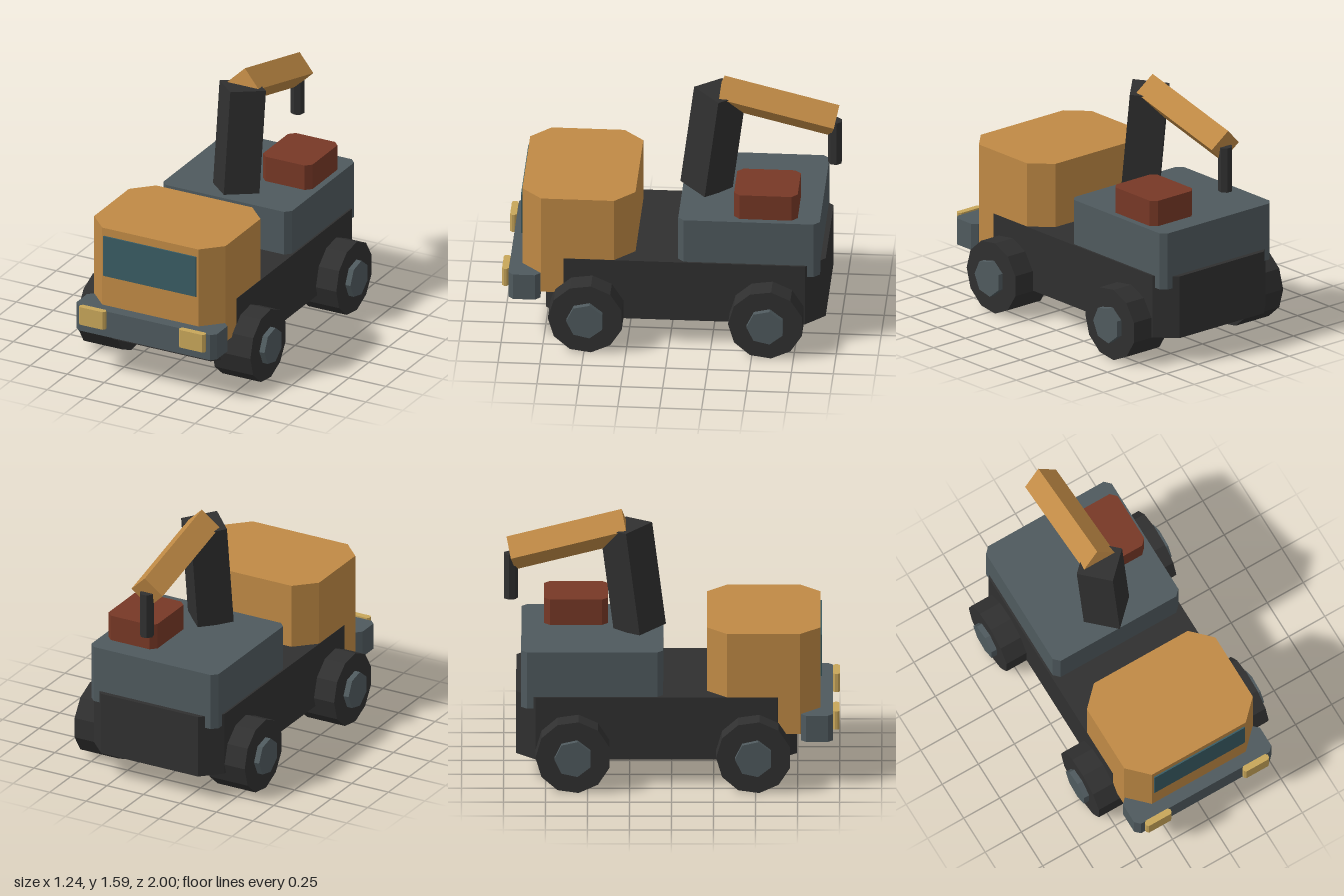
import * as THREE from 'three';

const paint = (name, color) => {
  const m = new THREE.MeshStandardMaterial({ color });
  m.name = name;
  return m;
};

// Faceted copy of a geometry: one normal per face
function faceted(geometry) {
  const g = geometry.index ? geometry.toNonIndexed() : geometry;
  g.computeVertexNormals();
  return g;
}

// Upright block with chamfered vertical edges, given by its x, y and z ranges
function block(name, material, [x0, x1], [y0, y1], [z0, z1], c) {
  const w = (x1 - x0) / 2, d = (z1 - z0) / 2;
  const outline = [[w, d - c], [w - c, d], [c - w, d], [-w, d - c], [-w, c - d], [c - w, -d], [w - c, -d], [w, c - d]];
  const shape = new THREE.Shape(outline.map(([x, y]) => new THREE.Vector2(x, y)));
  const g = new THREE.ExtrudeGeometry(shape, { depth: y1 - y0, bevelEnabled: false });
  g.rotateX(-Math.PI / 2);
  const mesh = new THREE.Mesh(faceted(g), material);
  mesh.name = name;
  mesh.position.set((x0 + x1) / 2, y0, (z0 + z1) / 2);
  return mesh;
}

// Few-sided bar between two points
function bar(name, material, from, to, radius, sides) {
  const a = new THREE.Vector3(...from), b = new THREE.Vector3(...to);
  const dir = b.clone().sub(a);
  const g = new THREE.CylinderGeometry(radius, radius, dir.length(), sides);
  const mesh = new THREE.Mesh(faceted(g), material);
  mesh.name = name;
  mesh.position.copy(a).add(b).multiplyScalar(0.5);
  mesh.quaternion.setFromUnitVectors(new THREE.Vector3(0, 1, 0), dir.normalize());
  return mesh;
}

export function createModel() {
  const orange = paint('orange', 0xc08a45);
  const dark = paint('dark grey', 0x303030);
  const steel = paint('steel grey', 0x4f5a5e);
  const red = paint('rust red', 0x773826);
  const glass = paint('glass teal', 0x395c64);
  const lamp = paint('lamp yellow', 0xc8a65a);

  const truck = new THREE.Group();
  truck.name = 'craneTruck';

  // Body
  truck.add(
    block('chassis', dark, [-0.447, 0.447], [0.17, 0.56], [-0.925, 0.745], 0.115),
    block('cab', orange, [-0.445, 0.445], [0.33, 0.96], [0.21, 0.885], 0.12),
    block('windscreen', glass, [-0.315, 0.315], [0.65, 0.91], [0.886, 0.895], 0.004),
    block('bumper', steel, [-0.475, 0.475], [0.29, 0.455], [0.77, 0.96], 0.03),
    block('rearBody', steel, [-0.435, 0.435], [0.485, 0.84], [-0.895, -0.05], 0.035),
    block('engineBox', red, [0.06, 0.395], [0.84, 1.0], [-0.76, -0.38], 0.035),
  );

  // Headlights
  for (const s of [-1, 1]) {
    const x = s * 0.3375;
    truck.add(block('headlight', lamp, [x - 0.0875, x + 0.0875], [0.35, 0.465], [0.96, 1.0], 0.012));
  }

  // Wheels with hubs, turned half round on the right side
  for (const z of [0.49, -0.585]) {
    for (const side of [1, -1]) {
      const wheel = new THREE.Group();
      wheel.name = 'wheel';
      wheel.position.set(0, 0.229, z);
      if (side < 0) wheel.rotation.y = Math.PI;
      wheel.add(
        bar('tyre', dark, [0.325, 0, 0], [0.585, 0, 0], 0.225, 11),
        bar('hub', steel, [0.55, 0, 0], [0.62, 0, 0], 0.113, 7),
      );
      truck.add(wheel);
    }
  }

  // Crane: mast, boom and hanging hook
  truck.add(
    bar('mast', dark, [0, 0.85, -0.19], [0, 1.49, -0.272], 0.157, 4),
    bar('boom', orange, [0, 1.489, -0.272], [0, 1.315, -0.957], 0.107, 4),
    bar('hook', dark, [0, 1.035, -0.958], [0, 1.315, -0.958], 0.043, 7),
  );
  return truck;
}
